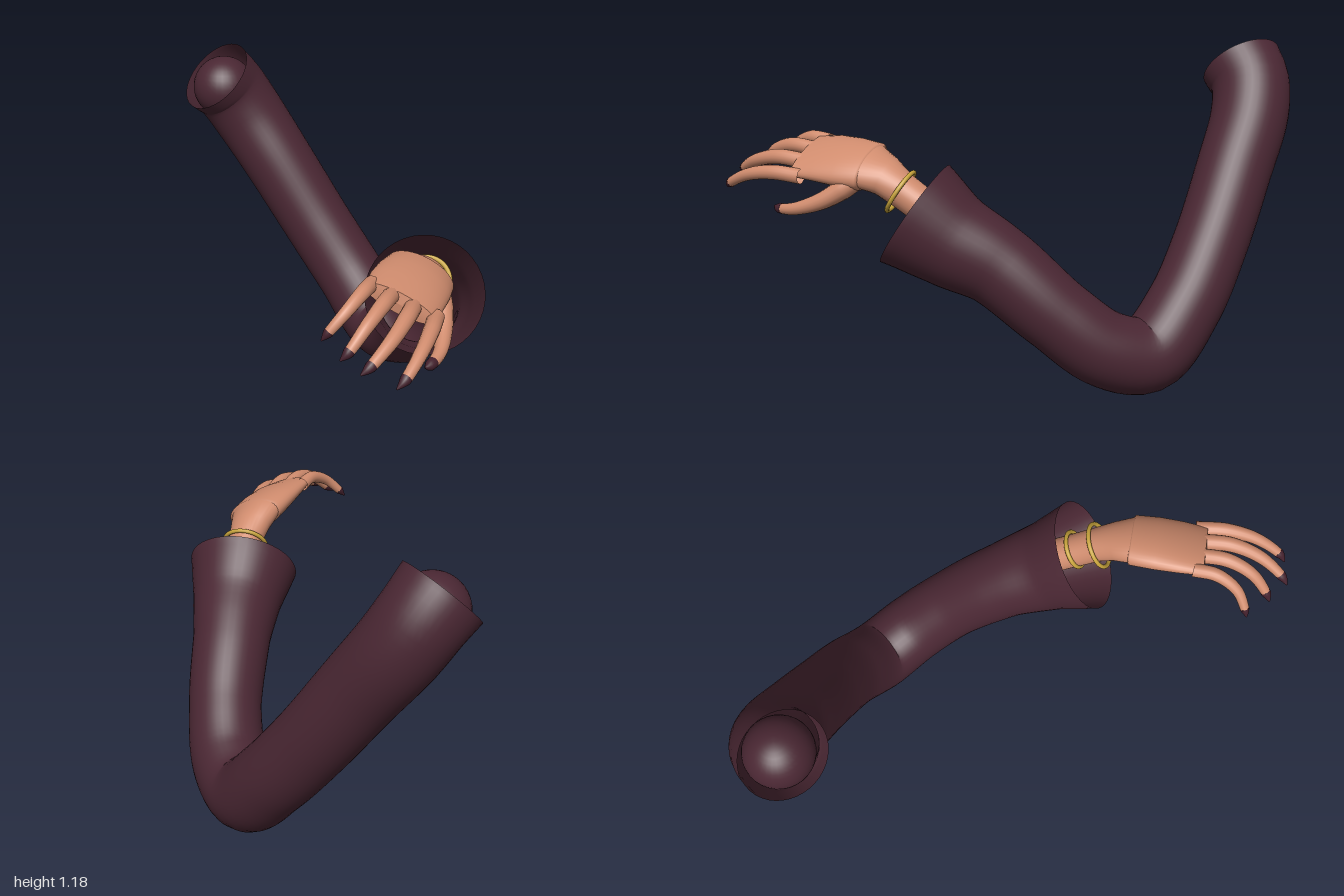
import * as THREE from 'three';

const V = (a) => new THREE.Vector3(...a);
const mat = (name, color, side = THREE.FrontSide) => {
  const m = new THREE.MeshStandardMaterial({ color, side });
  m.name = name;
  return m;
};

// Skin a list of elliptical rings { c, u, v }: centre and two half-axis vectors.
function loft(rings, sides) {
  const pos = [], index = [];
  rings.forEach(({ c, u, v }, i) => {
    for (let j = 0; j < sides; j++) {
      const a = (j / sides) * Math.PI * 2;
      const p = c.clone().addScaledVector(u, Math.cos(a)).addScaledVector(v, Math.sin(a));
      pos.push(p.x, p.y, p.z);
      if (i === rings.length - 1) continue;
      const k = i * sides + j, l = i * sides + ((j + 1) % sides);
      index.push(k, l, k + sides, l, l + sides, k + sides);
    }
  });
  const g = new THREE.BufferGeometry();
  g.setAttribute('position', new THREE.Float32BufferAttribute(pos, 3));
  g.setIndex(index);
  g.computeVertexNormals();
  return g;
}

// Round tube along a curve; each point is [x, y, z, radius]. Covers the span from..to.
function taperTube(points, steps, sides, from = 0, to = 1, grow = 0) {
  const curve = new THREE.CatmullRomCurve3(points.map((p) => V(p)));
  const frames = curve.computeFrenetFrames(steps, false);
  const rings = [];
  for (let i = Math.round(from * steps); i <= Math.round(to * steps); i++) {
    const t = curve.getUtoTmapping(i / steps) * (points.length - 1);
    const k = Math.min(Math.floor(t), points.length - 2);
    const r = THREE.MathUtils.lerp(points[k][3], points[k + 1][3], t - k) + grow;
    rings.push({
      c: curve.getPointAt(i / steps),
      u: frames.normals[i].clone().multiplyScalar(r),
      v: frames.binormals[i].clone().multiplyScalar(r),
    });
  }
  return loft(rings, sides);
}

export function createModel() {
  const model = new THREE.Group();
  model.name = 'bentArm';
  const cloth = mat('plum cloth', 0x4a2733, THREE.DoubleSide);
  const skin = mat('warm skin', 0xd08c6e, THREE.DoubleSide);
  const gold = mat('gold', 0xc9a53c);
  const polish = mat('dark nail polish', 0x43202c, THREE.DoubleSide);
  const add = (name, geometry, material) => {
    const m = new THREE.Mesh(geometry, material);
    m.name = name;
    model.add(m);
    return m;
  };

  // Sleeve from shoulder through the elbow to the flared cuff
  add('sleeve', taperTube([
    [0.055, 1.09, -0.85, 0.152],
    [0.115, 1.03, -0.85, 0.145],
    [0.175, 0.92, -0.81, 0.143],
    [0.245, 0.74, -0.70, 0.138],
    [0.33, 0.50, -0.55, 0.135],
    [0.395, 0.30, -0.40, 0.135],
    [0.42, 0.155, -0.24, 0.138],
    [0.405, 0.19, -0.08, 0.135],
    [0.34, 0.32, 0.08, 0.132],
    [0.225, 0.49, 0.25, 0.143],
    [0.135, 0.575, 0.38, 0.168],
    [0.055, 0.66, 0.48, 0.204],
  ], 72, 40), cloth);

  // Rounded joint inside the shoulder opening
  add('shoulderJoint', new THREE.SphereGeometry(0.12, 32, 20), cloth).position.set(0.09, 1.04, -0.85);

  // Hand axes: across the knuckles, toward the fingers, out of the back of the hand
  const across = V([0.56, -0.39, 0.73]).normalize();
  const back = V([0.28, 0.92, 0.27]).normalize();
  const armDir = V([-0.54, 0.54, 0.65]).normalize();
  const armU = across.clone().addScaledVector(armDir, -across.dot(armDir)).normalize();
  const armV = armDir.clone().cross(armU);
  const ring = (c, u, v, w, h) => ({
    c: V(c), u: u.clone().multiplyScalar(w), v: v.clone().multiplyScalar(h),
  });
  const mid = (k) => [armU.clone().lerp(across, k).normalize(), armV.clone().lerp(back, k).normalize()];

  // Wrist, widening into the heel of the hand
  add('wrist', loft([
    ring([0.17, 0.60, 0.36], armU, armV, 0.06, 0.06),
    ring([0.09, 0.68, 0.45], armU, armV, 0.06, 0.06),
    ring([0.03, 0.74, 0.515], armU, armV, 0.064, 0.06),
    ring([-0.015, 0.785, 0.555], ...mid(0.4), 0.083, 0.058),
    ring([-0.06, 0.812, 0.595], ...mid(0.8), 0.107, 0.055),
    ring([-0.10, 0.82, 0.625], across, back, 0.108, 0.05),
  ], 32), skin);

  // Palm shell overlapping the wrist, closed at the knuckles
  const knuckle = ring([-0.268, 0.828, 0.752], across, back, 0.122, 0.034);
  add('palm', loft([
    ring([-0.055, 0.812, 0.592], across, back, 0.105, 0.05),
    ring([-0.06, 0.813, 0.595], across, back, 0.117, 0.06),
    ring([-0.13, 0.822, 0.648], across, back, 0.126, 0.056),
    ring([-0.20, 0.828, 0.70], across, back, 0.127, 0.047),
    knuckle, knuckle,
    ring([-0.272, 0.828, 0.755], across, back, 0, 0),
  ], 40), skin);

  // Fingers and thumb, each with a painted tip
  const digits = {
    littleFinger: [[-0.30, 0.868, 0.655, 0.025], [-0.37, 0.873, 0.70, 0.024], [-0.45, 0.84, 0.725, 0.020], [-0.51, 0.785, 0.717, 0.016], [-0.53, 0.762, 0.71, 0.002]],
    ringFinger: [[-0.26, 0.845, 0.71, 0.027], [-0.35, 0.855, 0.775, 0.026], [-0.44, 0.825, 0.815, 0.022], [-0.515, 0.765, 0.825, 0.017], [-0.54, 0.745, 0.82, 0.002]],
    middleFinger: [[-0.22, 0.815, 0.765, 0.028], [-0.31, 0.825, 0.84, 0.027], [-0.41, 0.80, 0.895, 0.023], [-0.505, 0.755, 0.918, 0.017], [-0.535, 0.738, 0.915, 0.002]],
    indexFinger: [[-0.17, 0.778, 0.81, 0.027], [-0.25, 0.785, 0.885, 0.026], [-0.34, 0.766, 0.95, 0.022], [-0.43, 0.722, 0.99, 0.017], [-0.46, 0.702, 0.99, 0.002]],
    thumb: [[-0.02, 0.79, 0.64, 0.03], [-0.055, 0.745, 0.70, 0.036], [-0.10, 0.70, 0.765, 0.030], [-0.17, 0.667, 0.835, 0.022], [-0.24, 0.658, 0.872, 0.017], [-0.265, 0.662, 0.88, 0.002]],
  };
  for (const [name, path] of Object.entries(digits)) {
    add(name, taperTube(path, 40, 16, 0, 0.875), skin);
    add(name + 'Nail', taperTube(path, 40, 16, 0.875, 1, 0.0005), polish);
  }

  // Two bangles around the wrist
  const bangles = [[0.025, 0.735, 0.52, 0.08], [0.085, 0.688, 0.46, 0.066]];
  for (const [x, y, z, r] of bangles) {
    const b = add('bangle', new THREE.TorusGeometry(r, 0.008, 10, 48), gold);
    b.position.set(x, y, z);
    b.quaternion.setFromUnitVectors(V([0, 0, 1]), armDir);
  }
  return model;
}
